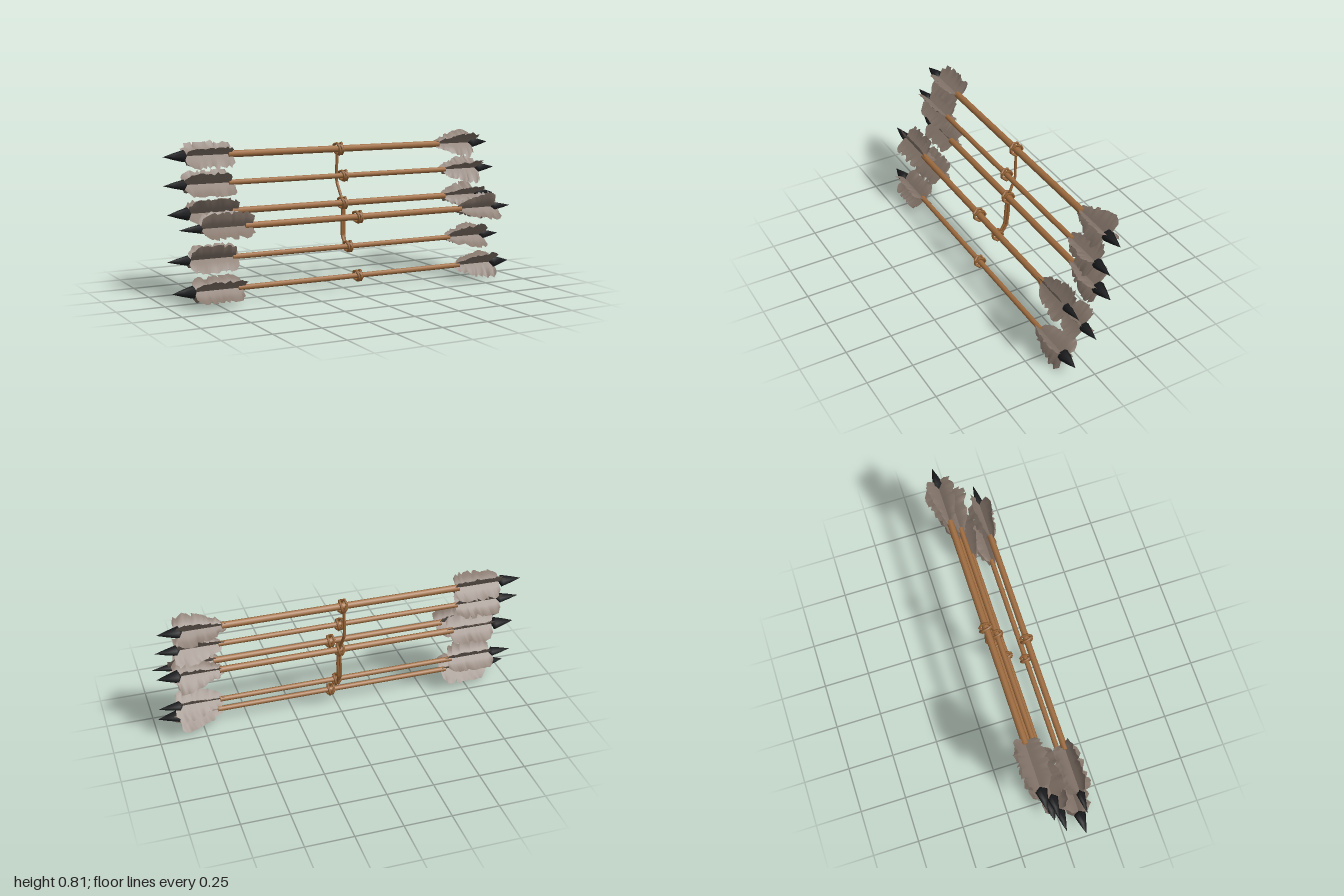
import * as THREE from 'three';

const mat = (name, color, extra = {}) => {
  const m = new THREE.MeshStandardMaterial({ color, ...extra });
  m.name = name;
  return m;
};
const wood = mat('wood', 0xa06d40);
const rope = mat('rope', 0x986537);
const iron = mat('iron', 0x18191b);
const feather = mat('feather', 0x84756a, { side: THREE.DoubleSide });

// seeded jitter in -1..1
let seed = 7;
const jitter = () => {
  seed = (seed * 16807) % 2147483647;
  return (seed / 2147483647) * 2 - 1;
};

function add(group, name, geometry, material) {
  const mesh = new THREE.Mesh(geometry, material);
  mesh.name = name;
  group.add(mesh);
  return mesh;
}

// Outer height of a feather along its length: rear feathers are full, front ones flare
const FULL = [0.05, 0.085, 0.09, 0.092, 0.086, 0.09, 0.094, 0.088, 0.092, 0.085, 0.06];
const FLARE = [0.022, 0.038, 0.054, 0.064, 0.072, 0.08, 0.086, 0.094, 0.1, 0.094, 0.07];

// Ragged feather from x0 to x1 reaching out from the shaft axis at an angle, slightly bowed
function featherGeometry(x0, x1, profile, angle, bow) {
  const pos = [], index = [], rows = 3, n = 21;
  for (let i = 0; i < n; i++) {
    const f = (i / (n - 1)) * (profile.length - 1);
    const p = Math.min(Math.floor(f), profile.length - 2);
    const notch = jitter() > 0.6 ? 0.82 : 1;
    const height = THREE.MathUtils.lerp(profile[p], profile[p + 1], f - p) * notch + jitter() * 0.004;
    const lean = jitter() * 0.008;
    const ripple = jitter() * 0.05;
    for (let j = 0; j <= rows; j++) {
      const t = j / rows;
      const a = angle + (bow + ripple) * t * t;
      const r = height * t;
      pos.push(x0 + (x1 - x0) * (i / (n - 1)) + lean * t, r * Math.sin(a), r * Math.cos(a));
      if (i < n - 1 && j < rows) {
        const k = i * (rows + 1) + j, l = k + rows + 1;
        index.push(k, l, k + 1, l, l + 1, k + 1);
      }
    }
  }
  const g = new THREE.BufferGeometry();
  g.setAttribute('position', new THREE.Float32BufferAttribute(pos, 3));
  g.setIndex(index);
  g.computeVertexNormals();
  return g;
}

// Pointed head with its tip at x, pointing along dir
function addHead(group, name, x, dir, radius) {
  const profile = [[0, -0.128], [radius, -0.11], [radius * 0.54, -0.055], [0, 0]]
    .map(([r, y]) => new THREE.Vector2(r, y));
  const head = add(group, name, new THREE.LatheGeometry(profile, 7), iron);
  head.rotation.z = -dir * Math.PI / 2;
  head.position.x = x;
}

function addFeathers(group, name, x0, x1, profile) {
  for (let i = 0; i < 4; i++) {
    const angle = Math.PI / 4 + i * Math.PI / 2 + jitter() * 0.14;
    add(group, name, featherGeometry(x0 + jitter() * 0.01, x1 + jitter() * 0.015, profile, angle, jitter() * 0.22), feather);
  }
}

// Cord wound around the shaft with a small crossing loop
function addKnot(group, radius) {
  const knot = new THREE.Group();
  knot.name = 'knot';
  [[-0.009, 0.16, 0.1], [0.009, -0.2, -0.12], [0.001, 0.5, 0.25]].forEach(([x, tiltZ, tiltY], i) => {
    const loop = add(knot, 'knotLoop', new THREE.TorusGeometry(radius + i * 0.002, 0.007, 5, 7), rope);
    loop.rotation.set(0, Math.PI / 2 + tiltY, tiltZ, 'ZYX');
    loop.position.x = x;
  });
  knot.position.x = 0.03;
  group.add(knot);
}

// y, z, rear tip, front tip, shaft radius, head radius
const ARROWS = [
  [0.734, -0.11, -0.957, 0.985, 0.018, 0.032],
  [0.595, -0.054, -0.978, 0.995, 0.014, 0.028],
  [0.446, -0.064, -0.957, 1, 0.017, 0.035],
  [0.394, 0.11, -0.96, 0.997, 0.017, 0.023],
  [0.22, 0, -0.984, 0.995, 0.014, 0.027],
  [0.081, 0.11, -1, 0.99, 0.014, 0.034],
];

function makeArrow([y, z, rear, front, shaftR, headR]) {
  const arrow = new THREE.Group();
  arrow.name = 'arrow';
  // the shaft ends just inside the feathers, which meet on its axis
  const a = rear + 0.35, b = front - 0.325;
  const shaft = add(arrow, 'shaft', new THREE.CylinderGeometry(shaftR, shaftR, b - a, 8), wood);
  shaft.rotation.z = -Math.PI / 2;
  shaft.position.x = (a + b) / 2;
  addHead(arrow, 'rearHead', rear, -1, headR);
  addHead(arrow, 'frontHead', front, 1, headR);
  addFeathers(arrow, 'rearFeather', rear + 0.115, rear + 0.375, FULL);
  addFeathers(arrow, 'frontFeather', front - 0.345, front - 0.1, FLARE);
  addKnot(arrow, shaftR + 0.013);
  arrow.position.set(0, y, z);
  return arrow;
}

// Angular cord through the given points
function addCord(group, points) {
  const path = new THREE.CurvePath();
  const v = points.map((p) => new THREE.Vector3(...p));
  for (let i = 1; i < v.length; i++) path.add(new THREE.LineCurve3(v[i - 1], v[i]));
  add(group, 'cord', new THREE.TubeGeometry(path, 24, 0.008, 6), rope);
}

export function createModel() {
  const model = new THREE.Group();
  model.name = 'arrowBundle';
  ARROWS.forEach((spec) => model.add(makeArrow(spec)));

  // cords tying the back arrows together
  addCord(model, [[0.025, 0.73, -0.114], [0.022, 0.63, -0.115], [0.022, 0.555, -0.114], [0.032, 0.47, -0.075], [0.035, 0.43, -0.062]]);
  addCord(model, [[0.04, 0.45, -0.068], [0.042, 0.36, -0.062], [0.036, 0.275, -0.056], [0.03, 0.205, -0.018]]);
  addCord(model, [[0.03, 0.43, -0.058], [0.024, 0.34, -0.054], [0.022, 0.27, -0.05], [0.026, 0.21, -0.012]]);
  return model;
}
